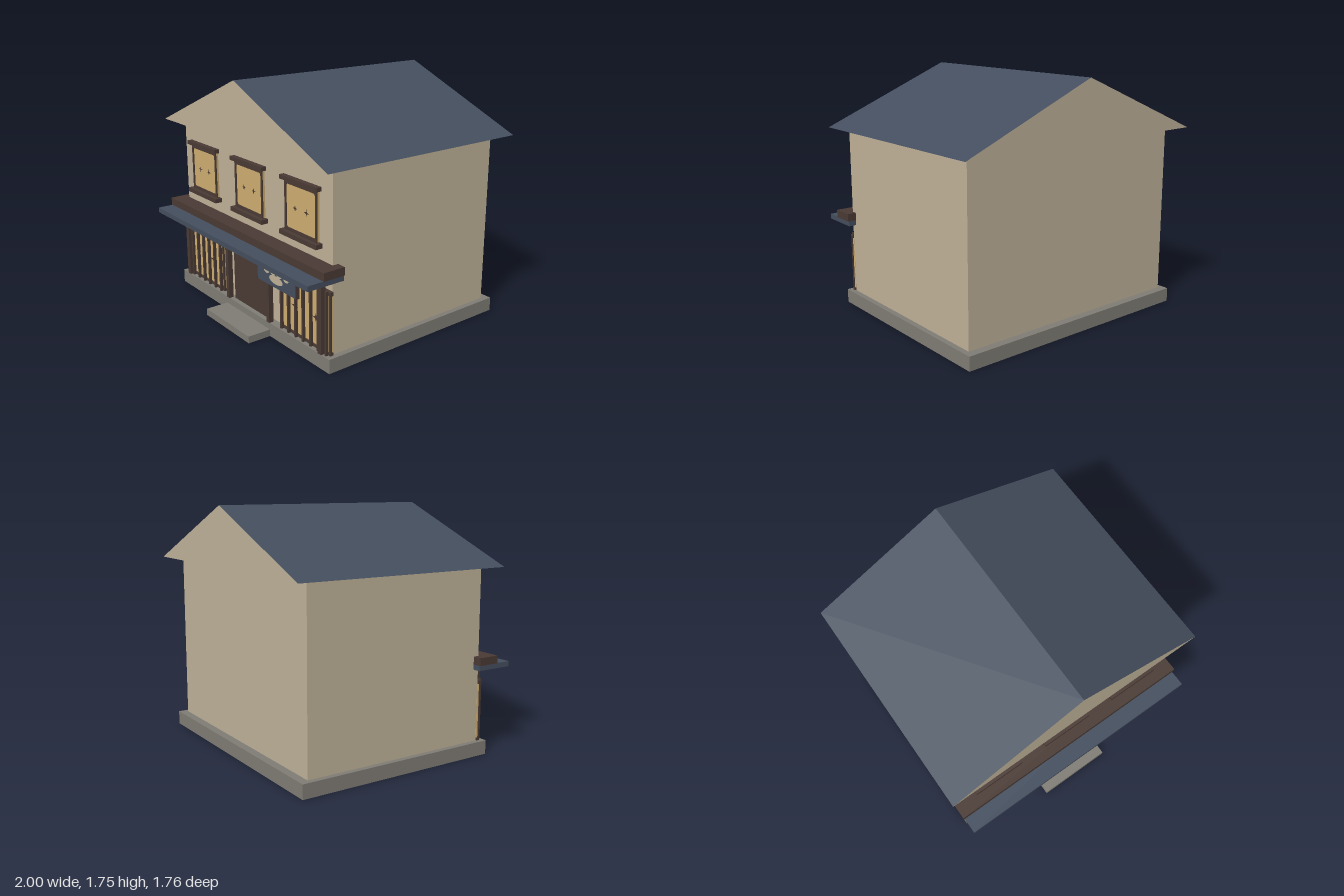
import * as THREE from 'three';

const mat = (name, color, side = THREE.FrontSide) => {
  const m = new THREE.MeshStandardMaterial({ color, side });
  m.name = name;
  return m;
};

export function createModel() {
  const house = new THREE.Group();
  house.name = 'shopHouse';
  const plaster = mat('plaster', 0xbfb198, THREE.DoubleSide);
  const stone = mat('stone', 0x7f7c74, THREE.DoubleSide);
  const slate = mat('slate', 0x444e5e);
  const wood = mat('darkWood', 0x4a3a34);
  const glow = mat('windowGlow', 0xceae72);

  const add = (name, geometry, material, parent = house) => {
    const mesh = new THREE.Mesh(geometry, material);
    mesh.name = name;
    parent.add(mesh);
    return mesh;
  };
  // Box given by its limits on each axis
  const box = (name, material, [x0, x1], [y0, y1], [z0, z1], parent = house) => {
    const g = new THREE.BoxGeometry(x1 - x0, y1 - y0, z1 - z0);
    g.translate((x0 + x1) / 2, (y0 + y1) / 2, (z0 + z1) / 2);
    return add(name, g, material, parent);
  };
  // Box without its underside
  const openBox = (...args) => {
    const g = box(...args).geometry;
    g.setIndex(Array.from(g.index.array).filter((_, i) => i < 18 || i >= 24));
    g.clearGroups();
  };
  const group = (name) => {
    const g = new THREE.Group();
    g.name = name;
    house.add(g);
    return g;
  };
  // Small four-pointed glazing mark
  const glazingMark = (x, y, z, rx, ry, parent) => {
    const s = new THREE.Shape();
    for (let i = 0; i < 8; i++) {
      const a = (i * Math.PI) / 4, r = i % 2 ? 0.3 : 1;
      s[i ? 'lineTo' : 'moveTo'](x + Math.cos(a) * r * rx, y + Math.sin(a) * r * ry);
    }
    add('glazingMark', new THREE.ShapeGeometry(s).translate(0, 0, z), wood, parent);
  };
  const roundedRect = (path, w, h, cy, r) => {
    const x = w / 2, y = h / 2;
    path.moveTo(-x + r, cy - y).lineTo(x - r, cy - y).quadraticCurveTo(x, cy - y, x, cy - y + r)
      .lineTo(x, cy + y - r).quadraticCurveTo(x, cy + y, x - r, cy + y)
      .lineTo(-x + r, cy + y).quadraticCurveTo(-x, cy + y, -x, cy + y - r)
      .lineTo(-x, cy - y + r).quadraticCurveTo(-x, cy - y, -x + r, cy - y);
    return path;
  };

  // Plinth, step and walls
  openBox('plinth', stone, [-0.94, 0.94], [0, 0.1], [-0.82, 0.7]);
  openBox('doorStep', stone, [-0.28, 0.28], [0, 0.05], [0.7, 0.875]);
  openBox('walls', plaster, [-0.9, 0.9], [0.002, 1.33], [-0.76, 0.642]);

  // Gabled roof: plaster ends, slate slopes and soffit
  const gable = new THREE.Shape([[-1, 1.333], [1, 1.333], [0, 1.75]].map((p) => new THREE.Vector2(...p)));
  add('roof', new THREE.ExtrudeGeometry(gable, { depth: 1.64, bevelEnabled: false }).translate(0, 0, -0.88), [plaster, slate]);

  // Upper windows
  for (const cx of [-0.6, 0, 0.6]) {
    const win = group('upperWindow');
    box('pane', glow, [-0.168, 0.168], [0.825, 1.16], [0.642, 0.66], win);
    const frame = roundedRect(new THREE.Shape(), 0.342, 0.348, 0.992, 0.012);
    frame.holes.push(roundedRect(new THREE.Path(), 0.308, 0.294, 0.992, 0.02));
    add('frame', new THREE.ExtrudeGeometry(frame, { depth: 0.008, bevelEnabled: false }).translate(0, 0, 0.659), wood, win);
    box('lintel', wood, [-0.198, 0.198], [1.163, 1.191], [0.649, 0.687], win);
    box('sill', wood, [-0.198, 0.198], [0.792, 0.823], [0.64, 0.695], win);
    for (const x of [-0.06, 0.06]) glazingMark(x, 0.99, 0.663, 0.028, 0.025, win);
    win.position.x = cx;
  }

  // Awning across the front
  box('awningBeam', wood, [-0.965, 0.965], [0.655, 0.711], [0.6, 0.762]);
  box('awning', slate, [-0.957, 0.957], [0.618, 0.655], [0.6, 0.88]);

  // Door and awning posts
  box('door', wood, [-0.22, 0.22], [0.1, 0.57], [0.64, 0.665]);
  for (const x of [-0.841, -0.26, 0.26, 0.841])
    box('post', wood, [x - 0.018, x + 0.018], [0.1, 0.62], [0.667, 0.703]);

  // Shop windows with lattice bars
  for (const s of [-1, 1]) {
    const shop = group('shopWindow');
    const cx = s * 0.639;
    box('pane', glow, [cx - 0.263, cx + 0.263], [0.12, 0.512], [0.64, 0.66], shop);
    box('topRail', wood, [cx - 0.27, cx + 0.27], [0.51, 0.536], [0.642, 0.667], shop);
    box('bottomRail', wood, [cx - 0.27, cx + 0.27], [0.1, 0.12], [0.642, 0.667], shop);
    for (const e of [-1, 1])
      box('sideStile', wood, [cx + e * 0.262 - 0.008, cx + e * 0.262 + 0.008], [0.1, 0.536], [0.655, 0.667], shop);
    for (let i = -3; i <= 3; i++) {
      const x = cx + i * 0.0815;
      box('latticeBar', wood, [x - 0.0075, x + 0.0075], [0.1, 0.542], [0.668, 0.688], shop);
    }
    for (const d of [-0.115, 0.115]) glazingMark(cx + d, 0.31, 0.663, 0.04, 0.03, shop);
  }

  // Hanging sign board with oval ornaments
  const sign = group('sign');
  box('board', slate, [0.186, 0.622], [0.41, 0.577], [0.703, 0.728], sign);
  for (const x of [0.181, 0.627])
    box('boardEdge', wood, [x - 0.005, x + 0.005], [0.408, 0.579], [0.702, 0.729], sign);
  const ovals = [[0.3, 0.503, 0.028, 0.015], [0.375, 0.51, 0.028, 0.018], [0.445, 0.51, 0.028, 0.018],
    [0.523, 0.503, 0.028, 0.015], [0.408, 0.468, 0.078, 0.03]];
  for (const [x, y, rx, ry] of ovals)
    add('ornament', new THREE.CircleGeometry(1, 24).scale(rx, ry, 1).translate(x, y, 0.731), plaster, sign);

  return house;
}
